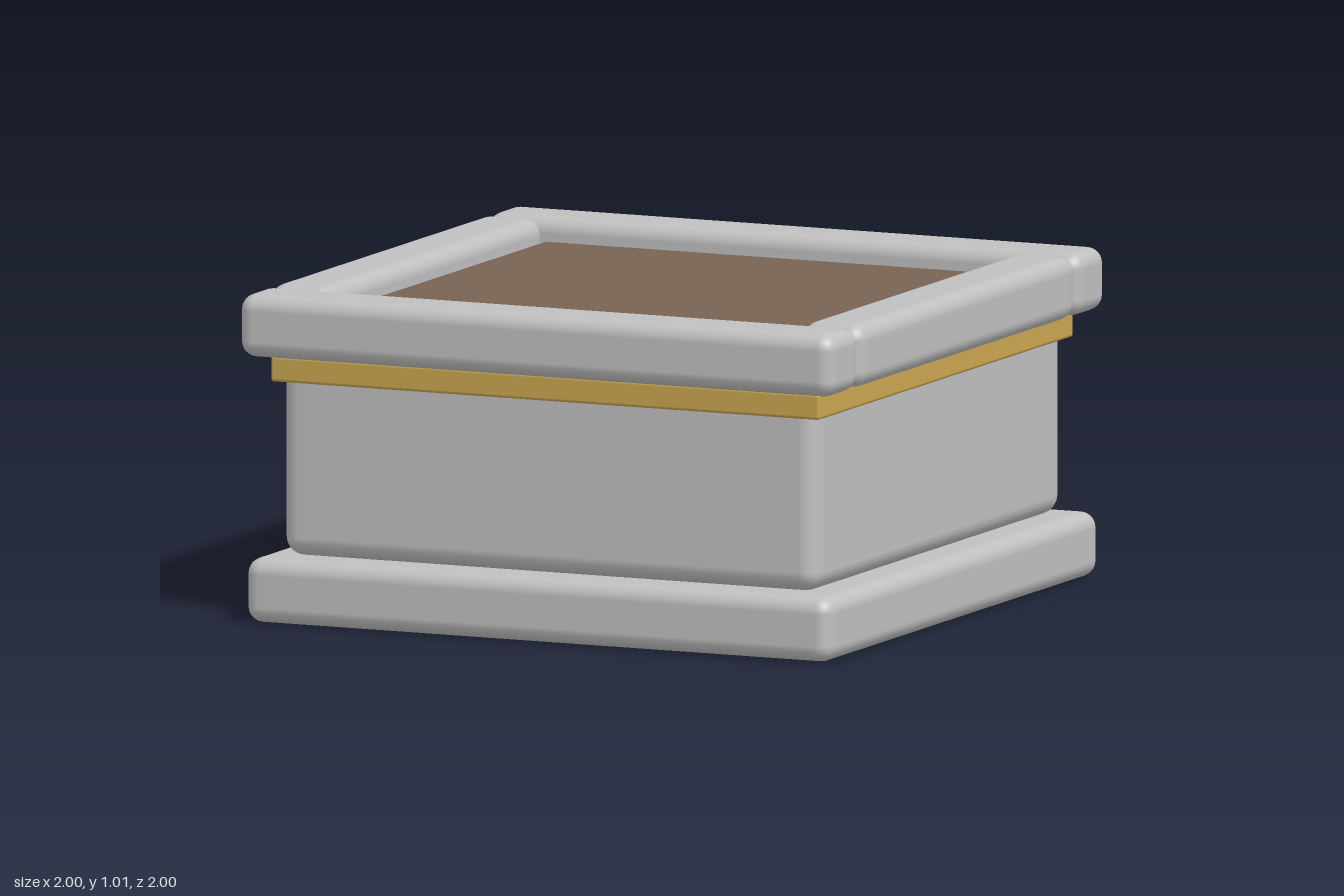
import * as THREE from 'three';
import { RoundedBoxGeometry } from 'three/addons/geometries/RoundedBoxGeometry.js';

export function createModel() {
  const group = new THREE.Group();
  const material = (name, color) => {
    const m = new THREE.MeshStandardMaterial({ color });
    m.name = name;
    return m;
  };
  const stone = material('pale stone', 0xc0c0c0);
  const gold = material('gold trim', 0xcaa650);
  const soil = material('brown soil', 0x776353);

  // Adds a block standing on y0; radius 0 gives sharp edges
  function block(name, mat, [w, d], [y0, y1], radius, x = 0, z = 0) {
    const h = y1 - y0;
    const geometry = radius
      ? new RoundedBoxGeometry(w, h, d, 3, radius)
      : new THREE.BoxGeometry(w, h, d);
    const mesh = new THREE.Mesh(geometry, mat);
    mesh.name = name;
    mesh.position.set(x, (y0 + y1) / 2, z);
    group.add(mesh);
  }

  // Plinth, body and trim band
  block('plinth', stone, [1.97, 1.97], [0, 0.2], 0.05);
  block('body', stone, [1.8, 1.8], [0.2, 0.81], 0.06);
  block('trimBand', gold, [1.845, 1.845], [0.74, 0.82], 0.01);

  // Soil filling, sunk slightly below the rim
  block('soil', soil, [1.58, 1.58], [0.81, 0.94], 0);

  // Rim: full-length front and back rails, shorter side rails between them
  for (const s of [1, -1]) {
    block(s > 0 ? 'frontRail' : 'backRail', stone, [2, 0.21], [0.82, 1.015], 0.05, 0, s * 0.895);
    block(s > 0 ? 'leftRail' : 'rightRail', stone, [0.21, 1.57], [0.82, 1.015], 0.05, s * 0.895, 0);
  }
  return group;
}
